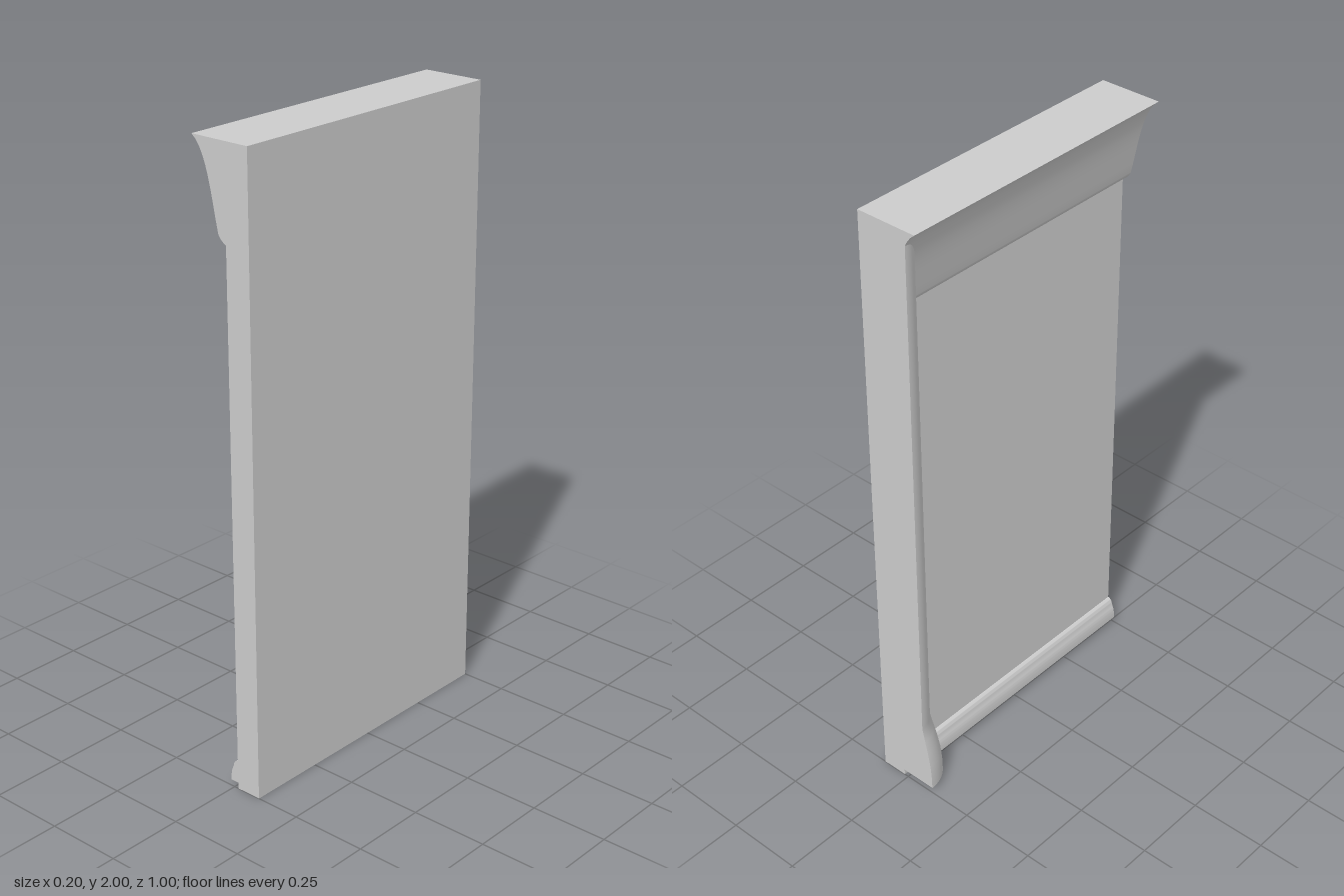
import * as THREE from 'three';
import { toCreasedNormals } from 'three/addons/utils/BufferGeometryUtils.js';

const FACE = 0.015, OUTER = 0.1, HALF = 0.5, RIM = 0.04;

export function createModel() {
  const group = new THREE.Group();
  const grey = new THREE.MeshStandardMaterial({ color: 0xcccccc });
  const thin = new THREE.MeshStandardMaterial({ color: 0xcccccc, side: THREE.DoubleSide });

  const add = (name, geometry, material = grey) => {
    const mesh = new THREE.Mesh(geometry, material);
    mesh.name = name;
    group.add(mesh);
    return mesh;
  };

  // Moulding profile (x, y) run along the whole length of the wall
  const moulding = (name, shape) => {
    const g = new THREE.ExtrudeGeometry(shape, { depth: 2 * HALF, bevelEnabled: false, curveSegments: 10 });
    g.translate(0, 0, -HALF);
    add(name, toCreasedNormals(g, 0.6));
  };

  // Wall slab
  const wall = new THREE.BoxGeometry(OUTER - FACE, 2 - RIM, 2 * HALF);
  wall.translate((OUTER + FACE) / 2, 1 + RIM / 2, 0);
  add('wallPanel', wall);

  // Rim under the slab, with two shallow pockets
  const rectangle = (Type, x0, x1, z0, z1) => new Type([
    new THREE.Vector2(x0, z0), new THREE.Vector2(x1, z0),
    new THREE.Vector2(x1, z1), new THREE.Vector2(x0, z1),
  ]);
  const rimShape = rectangle(THREE.Shape, FACE, OUTER, -HALF, HALF);
  for (const s of [-1, 1]) {
    rimShape.holes.push(rectangle(THREE.Path, FACE + 0.015, OUTER - 0.015,
      Math.min(s * 0.02, s * 0.46), Math.max(s * 0.02, s * 0.46)));
  }
  const rim = new THREE.ExtrudeGeometry(rimShape, { depth: RIM, bevelEnabled: false });
  rim.rotateX(Math.PI / 2).translate(0, RIM, 0);
  add('bottomRim', rim);

  // Cornice with a concave sweep and a small foot
  const cornice = new THREE.Shape();
  cornice.moveTo(FACE, 2);
  cornice.lineTo(-0.105, 2);
  cornice.bezierCurveTo(-0.05, 1.965, -0.035, 1.83, -0.015, 1.745);
  cornice.quadraticCurveTo(-0.012, 1.725, FACE, 1.71);
  cornice.closePath();
  moulding('cornice', cornice);

  // Skirting with a rounded top bead
  const skirting = new THREE.Shape();
  skirting.moveTo(FACE, 0.02);
  skirting.lineTo(FACE, 0.095);
  skirting.quadraticCurveTo(0, 0.093, -0.002, 0.075);
  skirting.lineTo(-0.006, 0.065);
  skirting.quadraticCurveTo(-0.013, 0.05, -0.013, 0.02);
  skirting.closePath();
  moulding('skirting', skirting);

  // Quarter-round column at the back end, flared at its foot
  const profile = [[0.12, 0.02], [0.119, 0.06], [0.115, 0.105], [0.106, 0.155],
    [0.096, 0.2], [0.085, 0.25], [0.085, 1.97]].map(([r, y]) => new THREE.Vector2(r, y));
  const column = new THREE.LatheGeometry(profile, 20, Math.PI * 1.5, Math.PI / 2);
  add('column', column).position.set(FACE, 0, -HALF);

  // Flat end and underside of the column
  const endShape = new THREE.Shape([
    new THREE.Vector2(0, 0.02),
    ...profile.map((p) => new THREE.Vector2(-p.x, p.y)),
    new THREE.Vector2(0, 1.97),
  ]);
  add('columnEnd', new THREE.ShapeGeometry(endShape), thin).position.set(FACE, 0, -HALF);

  const foot = new THREE.CircleGeometry(0.12, 20, Math.PI / 2, Math.PI / 2);
  foot.rotateX(Math.PI / 2);
  add('columnFoot', foot, thin).position.set(FACE, 0.02, -HALF);

  return group;
}
